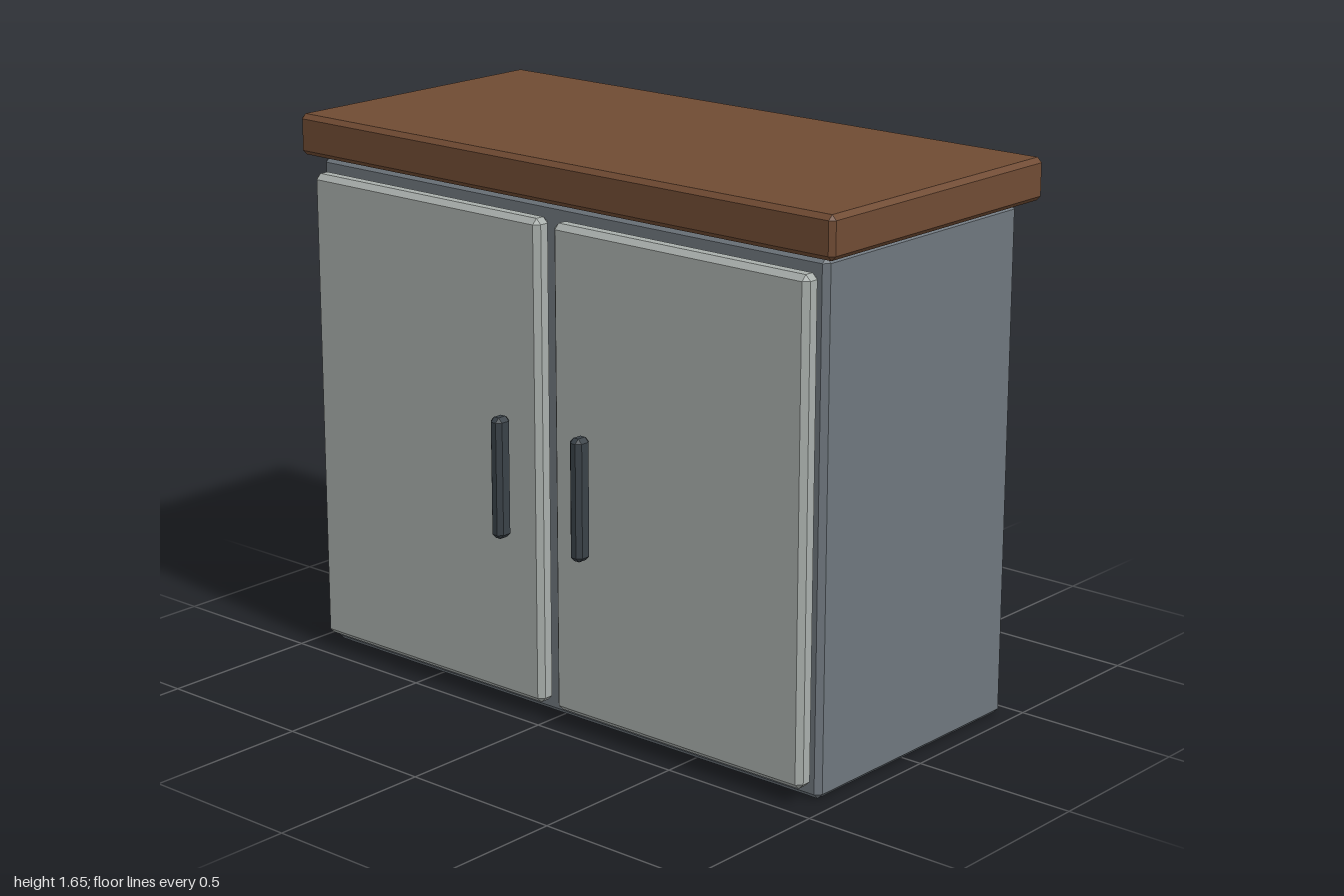
import * as THREE from 'three';
import { ConvexGeometry } from 'three/addons/geometries/ConvexGeometry.js';

const paint = (name, color) => {
  const m = new THREE.MeshStandardMaterial({ color });
  m.name = name;
  return m;
};

// Box with flat chamfers on every edge, given by its min and max corners
function chamferBox(name, min, max, c, material) {
  const half = min.map((v, i) => (max[i] - v) / 2);
  const points = [];
  for (const sx of [-1, 1]) for (const sy of [-1, 1]) for (const sz of [-1, 1])
    for (let full = 0; full < 3; full++) {
      const p = [sx, sy, sz].map((s, i) => s * (half[i] - (i === full ? 0 : c)));
      points.push(new THREE.Vector3(...p));
    }
  const mesh = new THREE.Mesh(new ConvexGeometry(points), material);
  mesh.position.set(...min.map((v, i) => (v + max[i]) / 2));
  mesh.name = name;
  return mesh;
}

export function createModel() {
  const group = new THREE.Group();
  group.name = 'cabinet';
  const bodyGrey = paint('bodyGrey', 0x6e767d);
  const doorGrey = paint('doorGrey', 0xa9afac);
  const wood = paint('wood', 0x704b33);
  const handleDark = paint('handleDark', 0x3a4248);

  // Carcass and overhanging worktop
  group.add(chamferBox('body', [-0.95, 0, -0.46], [0.95, 1.525, 0.397], 0.016, bodyGrey));
  group.add(chamferBox('worktop', [-1, 1.53, -0.51], [1, 1.653, 0.44], 0.014, wood));

  // Mirrored doors, each with an upright handle near the middle
  for (const [side, s] of [['left', 1], ['right', -1]]) {
    const x = s * 0.478, hx = s * 0.153;
    group.add(chamferBox(side + 'Door', [x - 0.452, 0.042, 0.396], [x + 0.452, 1.485, 0.456], 0.016, doorGrey));
    group.add(chamferBox(side + 'Handle', [hx - 0.022, 0.535, 0.456], [hx + 0.022, 0.898, 0.51], 0.013, handleDark));
  }
  return group;
}
